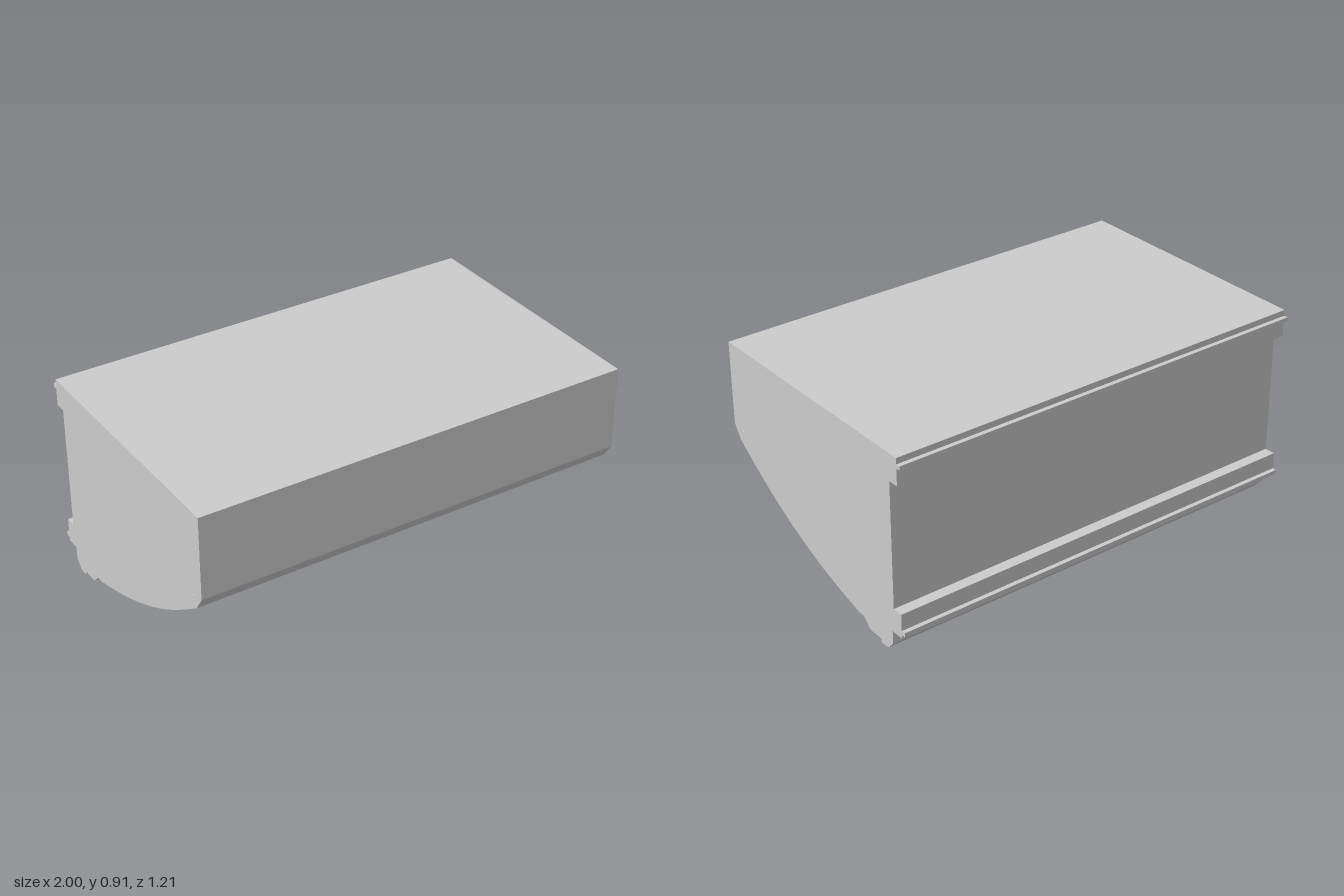
import * as THREE from 'three';

const material = new THREE.MeshStandardMaterial({ color: 0xcccccc, flatShading: true });

// Turns [z, y] pairs into a shape whose extrusion runs along x.
const toPoints = (pairs) => pairs.map(([z, y]) => new THREE.Vector2(-z, y));

function extrudeAlongX(name, pairs, x0, x1, holes = []) {
  const shape = new THREE.Shape(toPoints(pairs));
  holes.forEach((hole) => shape.holes.push(new THREE.Path(toPoints(hole))));
  const geometry = new THREE.ExtrudeGeometry(shape, { depth: x1 - x0, bevelEnabled: false });
  geometry.rotateY(Math.PI / 2).translate(x0, 0, 0);
  const mesh = new THREE.Mesh(geometry, material);
  mesh.name = name;
  return mesh;
}

// Rear sill, mounting rails, top and front face
const shell = [
  [-0.29, 0.06], [-0.32, 0.06], [-0.365, 0.018], [-0.44, 0.018], [-0.44, 0], [-0.487, 0],
  [-0.522, 0.038], [-0.522, 0.098], [-0.585, 0.098], [-0.585, 0.115], [-0.605, 0.115],
  [-0.605, 0.134], [-0.585, 0.134], [-0.585, 0.21], [-0.535, 0.21], [-0.535, 0.787],
  [-0.585, 0.787], [-0.585, 0.865], [-0.605, 0.865], [-0.605, 0.883], [-0.585, 0.883],
  [-0.585, 0.91], [0.605, 0.91], [0.605, 0.53], [0.562, 0.465],
];

// Curved lower edge of the end panels, front to back
const belly = [
  [0.47, 0.4], [0.37, 0.333], [0.275, 0.276], [0.17, 0.222],
  [0.06, 0.172], [-0.05, 0.13], [-0.165, 0.093],
];

// Open cavity between the end panels: slotted front wall, ceiling, stepped rear wall
const cavity = [
  [0.555, 0.467], [0.535, 0.515], [0.552, 0.516], [0.525, 0.526],
  [0.474, 0.643], [0.4, 0.8], [-0.49, 0.8], [-0.49, 0.317], [-0.46, 0.317],
  [-0.46, 0.124], [-0.31, 0.124], [-0.31, 0.064],
];

// Narrow slot through each end panel
const slot = [[0.552, 0.516], [0.535, 0.515], [0.525, 0.526], [0.546, 0.523]];

export function createModel() {
  const group = new THREE.Group();
  group.name = 'housing';
  const inner = 0.943;
  group.add(extrudeAlongX('body', [...shell, ...cavity], -inner, inner));
  const panel = [...shell, ...belly];
  group.add(extrudeAlongX('rightEndPanel', panel, -1, -inner, [slot]));
  group.add(extrudeAlongX('leftEndPanel', panel, inner, 1, [slot]));
  return group;
}
